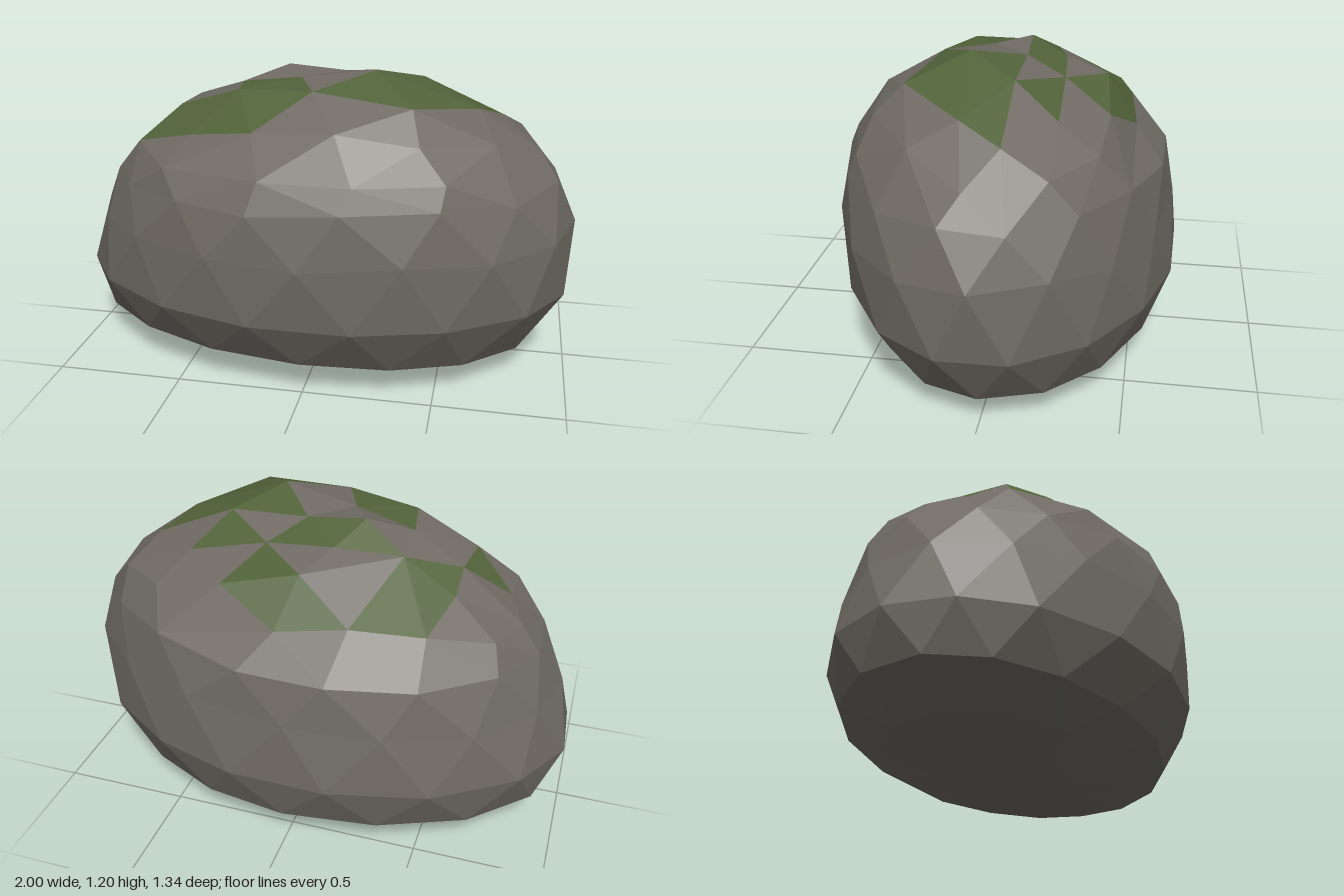
import * as THREE from 'three';
import { ConvexGeometry } from 'three/addons/geometries/ConvexGeometry.js';

const rockMat = new THREE.MeshStandardMaterial({ color: 0x706b64, flatShading: true });
rockMat.name = 'stone grey';
const mossMat = new THREE.MeshStandardMaterial({ color: 0x52633a, flatShading: true });
mossMat.name = 'moss green';

// Rings up the boulder: y, left x, right x, front z, back z, corners, tilt of y along x
const rings = [
  [0.025, -0.42, 0.32, 0.2, -0.3, 9, -0.005],
  [0.06, -0.72, 0.62, 0.36, -0.47, 13, -0.005],
  [0.14, -0.97, 0.87, 0.54, -0.61, 16, -0.02],
  [0.335, -1, 0.98, 0.645, -0.665, 16, 0],
  [0.58, -0.95, 1, 0.67, -0.645, 16, 0.025],
  [0.77, -0.86, 0.92, 0.635, -0.605, 16, 0.02],
];

// Corners of the uneven crown
const crown = [
  [-0.48, 0.91, -0.4], [-0.21, 0.93, -0.46], [0.06, 0.89, -0.49], [0.3, 1.0, -0.4], [0, 1.07, -0.37],
  [-0.54, 0.98, -0.2], [-0.33, 1.08, -0.14], [-0.08, 1.11, -0.2], [0.18, 1.1, -0.22], [0.49, 1.03, -0.23],
  [-0.54, 1.03, -0.06], [-0.16, 1.17, -0.05], [0.07, 1.15, -0.06], [0.38, 1.14, -0.06], [0.7, 1.0, -0.06],
  [-0.72, 0.89, 0.04], [-0.33, 1.11, 0.03], [-0.08, 1.15, 0.09], [0.22, 1.2, 0.13], [0.61, 1.06, 0.1],
  [-0.56, 1.03, 0.13], [-0.3, 1.12, 0.21], [0, 1.14, 0.28], [0.38, 1.11, 0.35], [-0.72, 0.89, 0.2],
  [-0.2, 1.01, 0.42], [0.12, 1.04, 0.485], [0.42, 1.0, 0.46], [0.68, 0.97, 0.27], [0.77, 0.92, -0.23],
  [0.57, 0.94, -0.38], [-0.71, 0.86, -0.28], [-0.78, 0.85, -0.1], [-0.54, 0.86, 0.44], [0.85, 0.89, 0.05],
  [-0.14, 0.88, 0.58], [0.2, 0.88, 0.59], [0.52, 0.88, 0.5], [-0.47, 0.96, 0.315],
];

// Moss patches in plan, as x, z corners
const patches = [
  [[-0.48, -0.4], [-0.21, -0.46], [-0.33, -0.14], [-0.54, -0.06], [-0.54, -0.2]],
  [[-0.21, -0.46], [0.06, -0.49], [0.3, -0.4], [0, -0.37]],
  [[0, -0.37], [0.3, -0.4], [0.18, -0.22]],
  [[-0.33, -0.14], [-0.08, -0.2], [0.18, -0.22], [0.07, -0.06]],
  [[0.18, -0.22], [0.49, -0.23], [0.38, -0.06]],
  [[0.07, -0.06], [0.7, -0.06], [0.61, 0.1], [0.38, 0.35], [0, 0.28], [0.22, 0.13]],
  [[-0.72, 0.2], [-0.56, 0.13], [-0.3, 0.21], [0, 0.28], [-0.2, 0.42], [-0.47, 0.315]],
  [[-0.33, 0.03], [-0.08, 0.09], [0, 0.28], [-0.3, 0.21]],
  [[-0.54, -0.06], [-0.56, 0.13], [-0.72, 0.04]],
];

function inside(x, z, poly) {
  let hit = false;
  poly.forEach(([ax, az], i) => {
    const [bx, bz] = poly[(i + 1) % poly.length];
    if ((az > z) !== (bz > z) && x < ax + ((z - az) / (bz - az)) * (bx - ax)) hit = !hit;
  });
  return hit;
}

// Shoulders: worn at front left and back right, fuller at back left
function shoulder(c, s) {
  const amount = c < 0 ? (s > 0 ? -0.025 : 0.015) : s > 0 ? 0 : -0.02;
  return 1 + 2 * Math.abs(c * s) * amount;
}

function boulderPoints() {
  let seed = 7;
  const rand = () => (seed = (seed * 16807) % 2147483647) / 2147483647 - 0.5;
  const points = [new THREE.Vector3(-0.15, 0, -0.05)];
  rings.forEach(([y, left, right, front, back, n, tilt], r) => {
    const shift = r % 2 ? 0.5 : 0;
    for (let i = 0; i < n; i++) {
      const a = ((i + shift + rand() * 0.1) / n) * Math.PI * 2;
      const c = Math.cos(a), s = Math.sin(a);
      const size = shoulder(c, s) * (1 + shift * 0.03);
      const x = c * (c > 0 ? right : -left) * size;
      const z = s * (s > 0 ? front : -back) * size;
      points.push(new THREE.Vector3(x, y + tilt * c + rand() * (r > 3 ? 0.04 : 0.006), z));
    }
  });
  crown.forEach((p) => points.push(new THREE.Vector3(...p)));
  return points;
}

// Join the points as on a ball, so hollows keep their corners, then split the faces by colour
function boulderFaces() {
  const points = boulderPoints();
  const ball = points.map((p) => new THREE.Vector3(p.x, (p.y - 0.55) / 0.62, p.z / 0.66).normalize());
  const hull = new ConvexGeometry(ball).getAttribute('position');
  const v = new THREE.Vector3();
  const faces = { stone: [], moss: [] };
  for (let f = 0; f < hull.count; f += 3) {
    const tri = [0, 1, 2].map((k) => {
      v.fromBufferAttribute(hull, f + k);
      let best = 0;
      ball.forEach((b, i) => { if (b.distanceToSquared(v) < ball[best].distanceToSquared(v)) best = i; });
      return points[best];
    });
    const mid = tri[0].clone().add(tri[1]).add(tri[2]).divideScalar(3);
    const mossy = mid.y > 0.85 && patches.some((p) => inside(mid.x, mid.z, p));
    tri.forEach((p) => faces[mossy ? 'moss' : 'stone'].push(p.x, p.y, p.z));
  }
  return faces;
}

function faceMesh(name, positions, material) {
  const geo = new THREE.BufferGeometry();
  geo.setAttribute('position', new THREE.Float32BufferAttribute(positions, 3));
  geo.computeVertexNormals();
  const mesh = new THREE.Mesh(geo, material);
  mesh.name = name;
  return mesh;
}

export function createModel() {
  const group = new THREE.Group();
  group.name = 'mossyBoulder';
  const faces = boulderFaces();
  group.add(faceMesh('boulder', faces.stone, rockMat), faceMesh('mossPatches', faces.moss, mossMat));
  return group;
}
